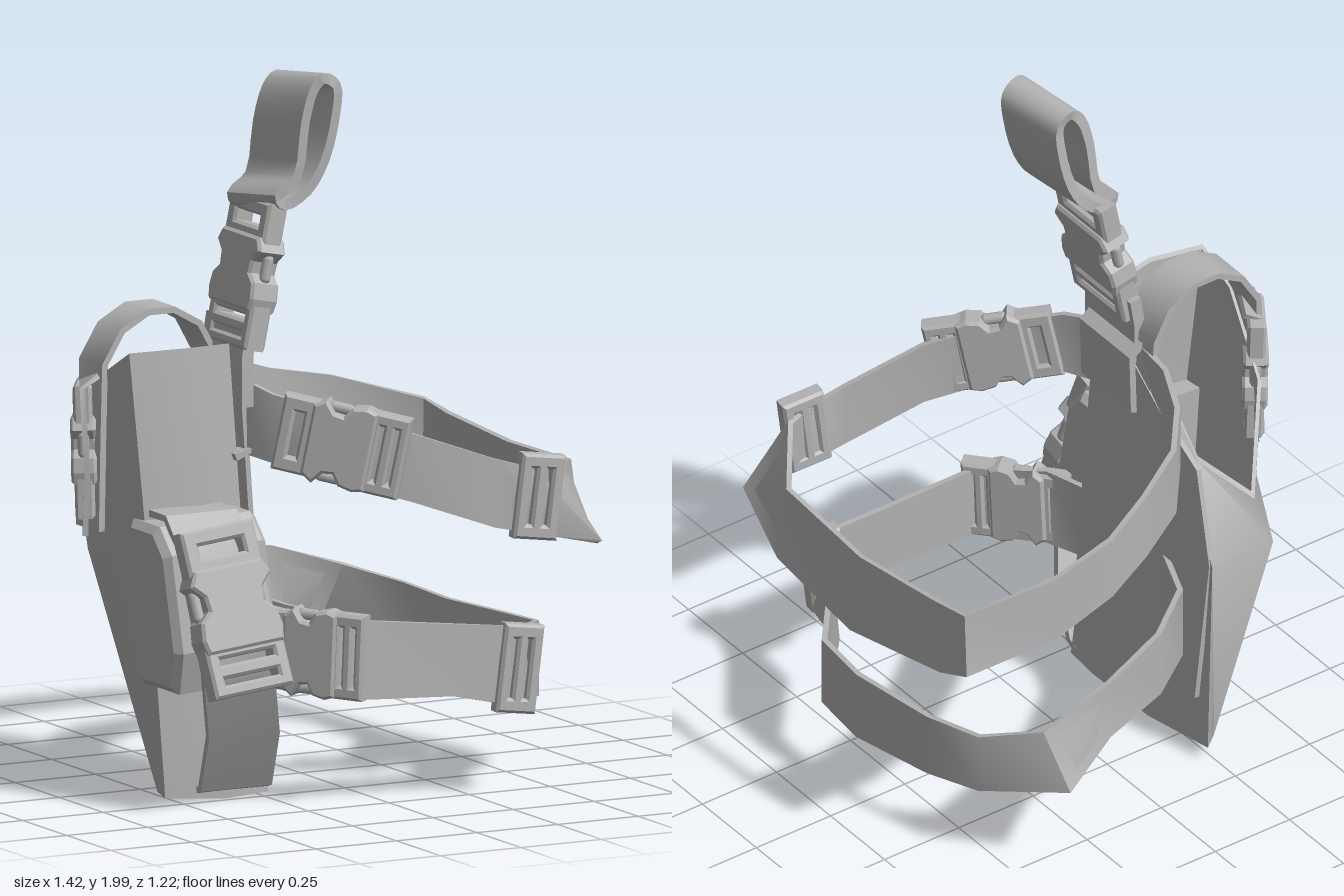
import * as THREE from 'three';
import { toCreasedNormals } from 'three/addons/utils/BufferGeometryUtils.js';

const V = (x, y, z) => new THREE.Vector3(x, y, z);

export function createModel() {
  const model = new THREE.Group();
  model.name = 'legHolster';
  const fabric = new THREE.MeshStandardMaterial({ color: 0xb4b4b4, side: THREE.DoubleSide });
  fabric.name = 'grey fabric';

  function add(geometry, name, parent = model) {
    const mesh = new THREE.Mesh(geometry, fabric);
    mesh.name = name;
    parent.add(mesh);
    return mesh;
  }

  // Skin through rings that all have the same number of points
  function loft(rings, closed = false, crease = 0.75) {
    const n = rings[0].length, pos = [], index = [];
    rings.forEach(r => r.forEach(p => pos.push(p.x, p.y, p.z)));
    const last = closed ? rings.length : rings.length - 1;
    for (let i = 0; i < last; i++) for (let j = 0; j < n; j++) {
      const a = i * n + j, b = i * n + (j + 1) % n;
      const k = ((i + 1) % rings.length) * n;
      const c = k + (j + 1) % n, d = k + j;
      index.push(a, b, c, a, c, d);
    }
    const g = new THREE.BufferGeometry();
    g.setAttribute('position', new THREE.Float32BufferAttribute(pos, 3));
    g.setIndex(index);
    return toCreasedNormals(g.toNonIndexed(), crease);
  }

  // Webbing between two edge points per row
  function band(rows, thick, closed = false) {
    const mid = rows.map(([a, b]) => a.clone().add(b).multiplyScalar(0.5));
    const n = rows.length;
    const at = i => closed ? mid[(i + n) % n] : mid[Math.min(Math.max(i, 0), n - 1)];
    const rings = rows.map(([a, b], i) => {
      const o = at(i + 1).clone().sub(at(i - 1)).cross(a.clone().sub(b)).setLength(thick / 2);
      return [a.clone().add(o), b.clone().add(o), b.clone().sub(o), a.clone().sub(o)];
    });
    if (!closed) {
      const end = r => r.map(() => r[0].clone().add(r[2]).multiplyScalar(0.5));
      rings.unshift(end(rings[0]));
      rings.push(end(rings[rings.length - 1]));
    }
    return loft(rings, closed);
  }

  function plate(points, thick, holes = [], bevel = 0.008) {
    const s = new THREE.Shape(points.map(p => new THREE.Vector2(...p)));
    holes.forEach(([x, y, w, h]) => s.holes.push(new THREE.Path([
      [x - w / 2, y - h / 2], [x - w / 2, y + h / 2], [x + w / 2, y + h / 2], [x + w / 2, y - h / 2],
    ].map(p => new THREE.Vector2(...p)))));
    const g = new THREE.ExtrudeGeometry(s, {
      depth: thick, bevelEnabled: bevel > 0, bevelSize: bevel, bevelThickness: bevel, bevelSegments: 1,
    });
    return g.translate(0, 0, -thick / 2);
  }
  const rect = (w, h, y = 0) => [[-w / 2, y - h / 2], [w / 2, y - h / 2], [w / 2, y + h / 2], [-w / 2, y + h / 2]];

  function place(group, x, y, z, yaw, tilt = 0, roll = 0) {
    group.position.set(x, y, z);
    group.rotation.set(tilt, yaw, roll, 'YXZ');
    model.add(group);
  }

  // Two-slot frame
  function slider(name, w, h) {
    const g = new THREE.Group();
    g.name = name;
    add(plate(rect(w, h), 0.035, [-1, 1].map(s => [s * w * 0.21, 0, w * 0.27, h * 0.78])), name + 'Frame', g);
    return g;
  }

  // Side-release buckle, strap running along local y
  function buckle(name, w, h, thick = 0.055) {
    const g = new THREE.Group();
    g.name = name;
    const e = w / 2;
    add(plate(rect(w * 0.86, h * 0.24, h * 0.36), thick * 0.65, [[0, h * 0.36, w * 0.62, h * 0.12]]), name + 'MaleFrame', g);
    const half = [[0.8, 0.24], [0.94, 0.17], [0.68, 0.1], [0.64, 0], [0.9, -0.06], [0.96, -0.16], [0.9, -0.23]];
    const outline = half.map(([x, y]) => [x * e, y * h])
      .concat(half.slice().reverse().map(([x, y]) => [-x * e, y * h]));
    add(plate(outline, thick), name + 'Housing', g);
    for (const s of [-1, 1])
      add(new THREE.CapsuleGeometry(0.016, h * 0.13, 3, 8), name + 'Prong', g).position.set(s * e * 0.85, h * 0.05, 0);
    add(plate(rect(w * 0.92, h * 0.27, -h * 0.36), thick * 0.7,
      [-0.3, -0.42].map(y => [0, y * h, w * 0.74, h * 0.075])), name + 'LadderFrame', g);
    return g;
  }

  // Holster shell: wedge-shaped toe, slanted open mouth with a thin lip
  const toe = [[-0.21, 0.01, 0.1], [-0.22, 0.01, 0.22], [-0.36, 0.005, 0.23], [-0.53, 0.015, 0.2], [-0.5, 0.015, 0.1],
    [-0.39, 0.03, -0.13], [-0.28, 0.05, -0.36], [-0.23, 0.05, -0.4], [-0.21, 0.02, -0.15]].map(p => V(...p));
  const waist = [[-0.25, 0.65, 0.1], [-0.28, 0.65, 0.19], [-0.42, 0.65, 0.22], [-0.58, 0.65, 0.2], [-0.61, 0.68, 0.06],
    [-0.59, 0.66, -0.13], [-0.45, 0.65, -0.4], [-0.245, 0.65, -0.4], [-0.26, 0.68, -0.15]].map(p => V(...p));
  const mouth = [[-0.29, 1.23, 0.09], [-0.31, 1.25, 0.16], [-0.46, 1.255, 0.19], [-0.62, 1.25, 0.16], [-0.63, 1.18, 0.04],
    [-0.585, 0.99, -0.16], [-0.42, 0.78, -0.355], [-0.3, 0.9, -0.26], [-0.285, 1.1, -0.1]].map(p => V(...p));
  const inset = (ring, k, dy = 0) => {
    const c = ring.reduce((s, p) => s.add(p), V(0, 0, 0)).divideScalar(ring.length);
    return ring.map(p => p.clone().sub(c).multiplyScalar(k).add(c).add(V(0, dy, 0)));
  };
  add(loft([inset(toe, 0.001), toe, waist, mouth, inset(mouth, 0.95), inset(mouth, 0.94, -0.05)], false, 0.6), 'holsterShell');

  // Backing panel against the thigh
  const panel = add(plate([[-0.2, 0.2], [0.36, 0.2], [0.39, 0.65], [0.31, 0.92], [0.15, 1.0], [0, 1.1], [-0.18, 1.15]],
    0.015, [], 0), 'thighPanel');
  panel.rotation.set(0, Math.PI / 2, 0.06, 'ZYX');
  panel.position.x = -0.21;

  // Magazine pouch, flap and closing strap
  const pouch = add(plate([[-0.16, 0.36], [-0.33, 0.36], [-0.36, 0.46], [-0.33, 0.72], [-0.28, 0.78], [-0.16, 0.78]],
    0.28, [], 0.02), 'magazinePouch');
  pouch.rotation.set(0, Math.PI / 2, 0.07, 'ZYX');
  pouch.position.x = -0.4;
  add(band([[0.81, -0.47, 0.2], [0.81, -0.47, 0.29], [0.72, -0.46, 0.35], [0.4, -0.43, 0.43], [0.34, -0.41, 0.4],
    [0.2, -0.36, 0.33], [0.04, -0.335, 0.24], [0.03, -0.33, 0.2]]
    .map(([y, x, z]) => [V(x + 0.11, y, z), V(x - 0.11, y, z)]), 0.02), 'pouchStrap');
  place(buckle('pouchBuckle', 0.25, 0.46, 0.065), -0.445, 0.57, 0.42, 0, -0.3, 0.1);

  // Retention strap over the mouth, buckled on the outside
  const over = [[-0.645, 0.74], [-0.64, 1.0], [-0.635, 1.2], [-0.58, 1.29], [-0.5, 1.335], [-0.42, 1.335],
    [-0.34, 1.29], [-0.29, 1.2], [-0.275, 1.02]];
  add(band(over.map(([x, y]) => [V(x, y, 0.05), V(x, y, -0.08)]), 0.018), 'retentionStrap');
  place(buckle('retentionBuckle', 0.17, 0.36), -0.64, 0.96, -0.05, -2.15, 0.03);
  add(band([[-0.65, 1.17], [-0.7, 1.14], [-0.685, 0.9], [-0.69, 0.73]]
    .map(([x, y]) => [V(x, y, 0.04), V(x + 0.07, y, -0.09)]), 0.015), 'retentionTab');

  // Hanger: sleeve, buckle and belt loop
  add(band([[-0.31, 0.94], [-0.25, 0.96], [-0.245, 1.14], [-0.29, 1.17]]
    .map(([x, y]) => [V(x, y, 0.2), V(x, y, -0.03)]), 0.02), 'hangerSleeve');
  add(band([[-0.285, 1.08], [-0.285, 1.22], [-0.27, 1.31]]
    .map(([x, y]) => [V(x, y, 0.22), V(x, y, -0.01)]), 0.035), 'hangerStrap');
  place(buckle('hangerBuckle', 0.24, 0.4, 0.07), -0.235, 1.44, 0.125, Math.PI / 2, 0.2);
  const loop = new THREE.CatmullRomCurve3([[-0.09, 1.97], [-0.05, 1.945], [-0.05, 1.87], [-0.08, 1.74],
    [-0.13, 1.66], [-0.2, 1.625], [-0.22, 1.65], [-0.165, 1.7], [-0.145, 1.85], [-0.12, 1.94]]
    .map(([x, y]) => V(x, y, 0.14 + (y - 1.6) * 0.06)), true);
  add(band(loop.getPoints(30).slice(0, -1).map(p => [
    p.clone().add(V(0.02, 0.01, 0.1)), p.clone().add(V(-0.02, -0.01, -0.1))]), 0.03, true), 'beltLoop');

  // Leg straps, rows are x, z, top, bottom and the offset of the lower edge
  const legStrap = (rows, name) => add(band(rows.map(([x, z, t, b, dx = 0, dz = 0]) =>
    [V(x, t, z), V(x + dx, b, z + dz)]), 0.016), name);
  legStrap([[-0.28, 0.12, 1.16, 0.95], [-0.23, 0.27, 1.12, 0.93], [-0.08, 0.4, 1.07, 0.88], [0.08, 0.49, 1.02, 0.83],
    [0.3, 0.55, 0.94, 0.75], [0.4, 0.565, 0.91, 0.72, 0.04], [0.48, 0.555, 0.89, 0.69, 0.12, 0.045],
    [0.65, 0.33, 0.87, 0.65, 0.03], [0.665, -0.03, 0.86, 0.63, 0.035], [0.645, -0.34, 0.89, 0.69, 0.02, -0.06],
    [0.64, -0.47, 0.91, 0.73, 0.015, -0.03], [0.4, -0.555, 0.98, 0.78], [0.2, -0.54, 1.02, 0.83],
    [0.05, -0.49, 1.07, 0.87], [-0.1, -0.42, 1.12, 0.91], [-0.2, -0.3, 1.15, 0.94], [-0.27, -0.15, 1.16, 0.95],
    [-0.29, 0.02, 1.16, 0.95]], 'upperLegStrap');
  legStrap([[-0.26, 0.2, 0.56, 0.33], [-0.23, 0.34, 0.55, 0.31], [-0.1, 0.5, 0.52, 0.3], [0.18, 0.53, 0.49, 0.29],
    [0.38, 0.555, 0.47, 0.24, 0.03], [0.45, 0.41, 0.43, 0.22, -0.02], [0.61, 0.22, 0.41, 0.2], [0.62, 0.05, 0.4, 0.19],
    [0.58, -0.22, 0.4, 0.21], [0.54, -0.4, 0.42, 0.24], [0.42, -0.53, 0.46, 0.28, -0.04, -0.07],
    [0.2, -0.53, 0.53, 0.35], [-0.02, -0.46, 0.56, 0.36], [-0.18, -0.34, 0.57, 0.35], [-0.25, -0.17, 0.57, 0.34],
    [-0.25, 0, 0.57, 0.34]], 'lowerLegStrap');

  // Strap hardware
  place(buckle('upperLegBuckle', 0.23, 0.35), -0.09, 0.99, 0.395, -0.68, 0, Math.PI / 2 - 0.2);
  place(slider('upperLegSlider', 0.11, 0.22), 0.42, 0.83, 0.575, -0.15, 0, -0.12);
  place(buckle('lowerLegBuckle', 0.24, 0.3), -0.185, 0.425, 0.41, -0.9, 0, Math.PI / 2 - 0.04);
  place(slider('lowerLegSlider', 0.1, 0.23), 0.37, 0.355, 0.555, -0.1, 0, -0.12);

  return model;
}
